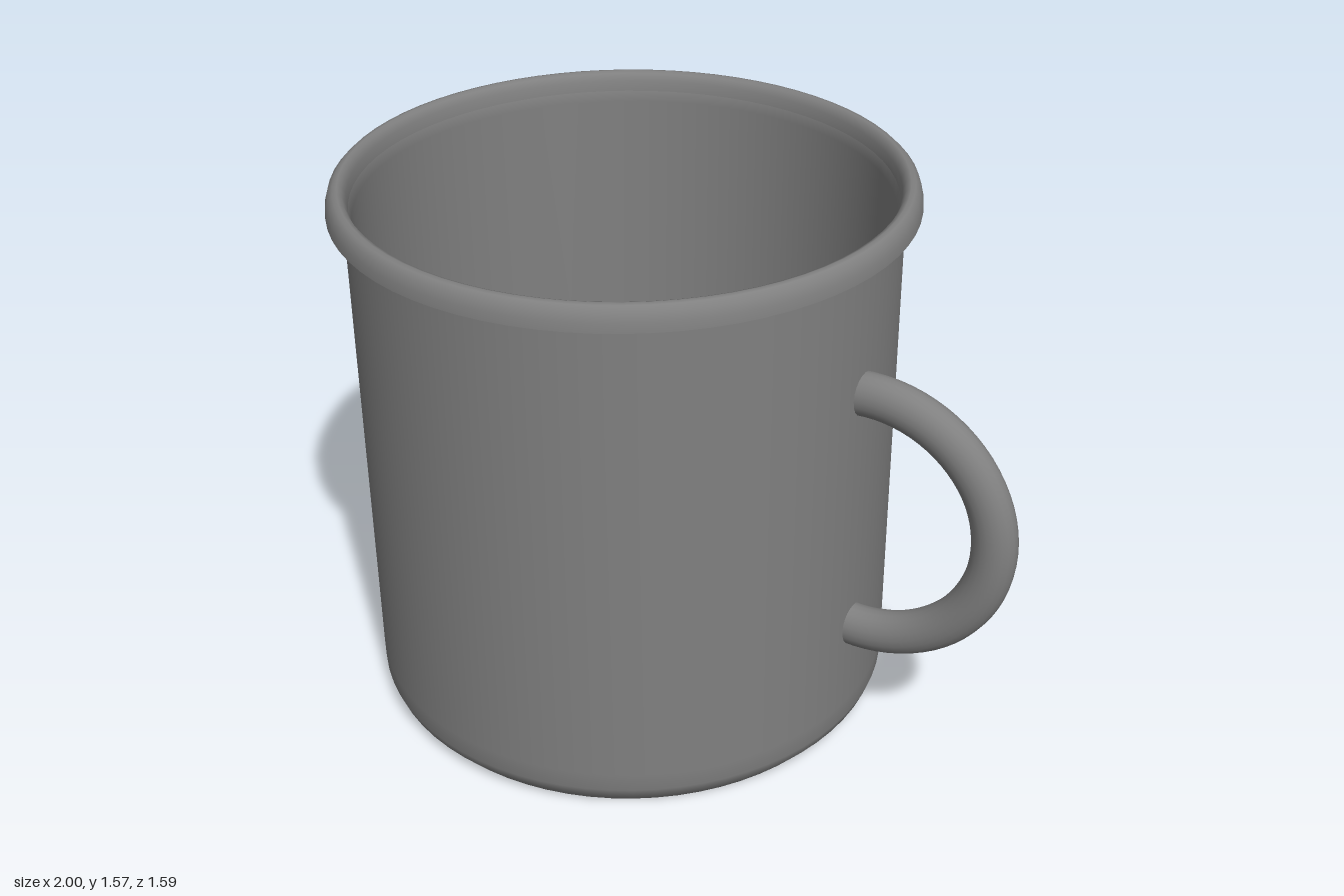
import * as THREE from 'three';

export function createModel() {
  const mug = new THREE.Group();
  mug.name = 'mug';
  const enamel = new THREE.MeshStandardMaterial({ color: 0x808080 });
  enamel.name = 'grey enamel';

  const cup = new THREE.Group();
  cup.name = 'cup';
  cup.position.x = -0.205;
  mug.add(cup);

  // Revolve a profile; separate pieces keep the edges between them sharp
  const turn = (name, profile) => {
    const points = profile.map(([r, y]) => new THREE.Vector2(r, y));
    const mesh = new THREE.Mesh(new THREE.LatheGeometry(points, 72), enamel);
    mesh.name = name;
    cup.add(mesh);
  };

  turn('base', [[0, 0], [0.708, 0]]);
  turn('outerWall', [[0.708, 0], [0.738, 0.035], [0.749, 0.065], [0.75, 0.12], [0.75, 1.5]]);
  turn('rimUnderside', [[0.748, 1.5], [0.795, 1.5]]);
  turn('rim', [[0.795, 1.5], [0.793, 1.525], [0.785, 1.55], [0.772, 1.563],
    [0.76, 1.565], [0.748, 1.56], [0.738, 1.54], [0.735, 1.51]]);
  turn('innerWall', [[0.735, 1.51], [0.728, 1.48], [0.728, 0.03]]);
  turn('floor', [[0.728, 0.03], [0, 0.03]]);

  // Half-ring handle, its ends sunk into the wall
  const sink = 0.09;
  const ring = new THREE.TorusGeometry(0.37, 0.063, 20, 40, Math.PI + 2 * sink);
  ring.rotateZ(-Math.PI / 2 - sink);
  ring.scale(1, 1, 0.84);
  const handle = new THREE.Mesh(ring, enamel);
  handle.name = 'handle';
  handle.position.set(0.563, 0.752, 0.06);
  mug.add(handle);

  return mug;
}
